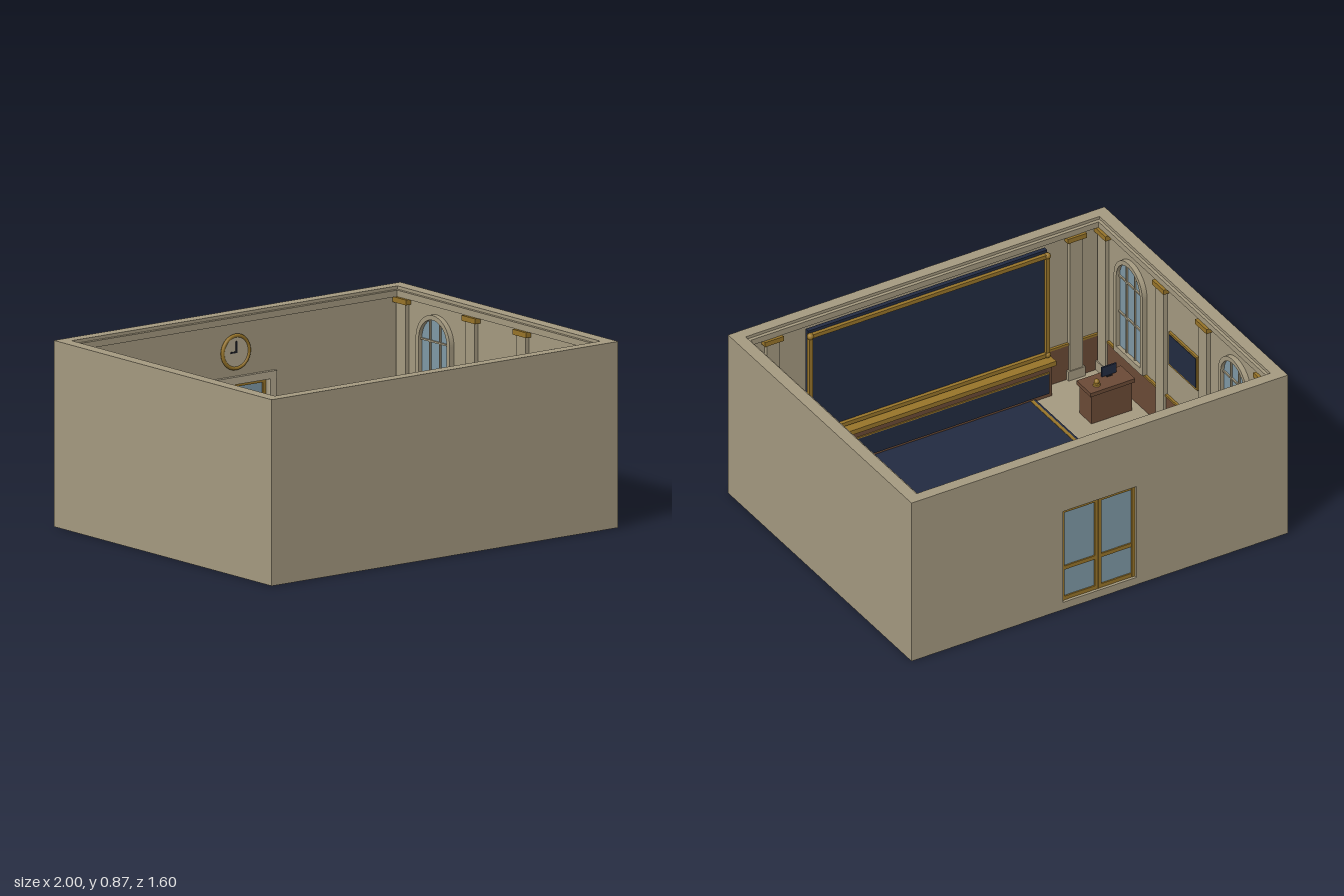
import * as THREE from 'three';

const mat = (name, color) => Object.assign(new THREE.MeshStandardMaterial({ color }), { name });
const stone = mat('stone', 0xa59a80);
const navy = mat('navy', 0x222b41);
const gold = mat('gold', 0x98752a);
const wood = mat('wood', 0x6b4a36);
const glass = mat('glass', 0x7f99a6);
const leaf = mat('leaf', 0x47774b);
const ivory = mat('ivory', 0xb5aa90);
const dark = mat('dark', 0x20222a);

function add(parent, name, geometry, material, x = 0, y = 0, z = 0) {
  const m = new THREE.Mesh(geometry, material);
  m.name = name;
  m.position.set(x, y, z);
  parent.add(m);
  return m;
}
// Box given by its limits on each axis
function box(parent, name, material, x0, x1, y0, y1, z0, z1) {
  return add(parent, name, new THREE.BoxGeometry(x1 - x0, y1 - y0, z1 - z0), material,
    (x0 + x1) / 2, (y0 + y1) / 2, (z0 + z1) / 2);
}
function group(parent, name, x = 0, y = 0, z = 0) {
  const g = new THREE.Group();
  g.name = name;
  g.position.set(x, y, z);
  parent.add(g);
  return g;
}

// Round-headed outline, width 2w, from y0 up to the springing y1
function archPath(P, w, y0, y1) {
  const p = new P();
  p.moveTo(-w, y0);
  p.lineTo(w, y0);
  p.lineTo(w, y1);
  p.absarc(0, y1, w, 0, Math.PI, false);
  p.lineTo(-w, y0);
  return p;
}

// Wall fittings below are built facing +z from a wall plane at z = 0
function pilaster(parent, x) {
  const g = group(parent, 'pilaster', x);
  box(g, 'pilasterBase', stone, -0.045, 0.045, 0.04, 0.09, 0, 0.025);
  box(g, 'pilasterShaft', stone, -0.035, 0.035, 0.09, 0.795, 0, 0.02);
  box(g, 'pilasterCapital', gold, -0.05, 0.05, 0.795, 0.82, 0, 0.03);
}
function wainscot(parent, x0, x1) {
  box(parent, 'wainscot', wood, x0, x1, 0.04, 0.225, 0, 0.008);
  box(parent, 'wainscotCap', gold, x0, x1, 0.225, 0.236, 0, 0.012);
}
function archedWindow(parent, x) {
  const g = group(parent, 'window', x);
  const shape = archPath(THREE.Shape, 0.125, 0.25, 0.655);
  shape.holes.push(archPath(THREE.Path, 0.103, 0.27, 0.655));
  add(g, 'windowFrame', new THREE.ExtrudeGeometry(shape, { depth: 0.025, bevelEnabled: false, curveSegments: 20 }), stone);
  add(g, 'windowGlass', new THREE.ShapeGeometry(archPath(THREE.Shape, 0.105, 0.26, 0.655), 20), glass, 0, 0, 0.006);
  for (const mx of [-0.036, 0.036]) box(g, 'mullion', stone, mx - 0.004, mx + 0.004, 0.26, 0.75, 0.004, 0.014);
  for (const my of [0.46, 0.655]) box(g, 'transom', stone, -0.105, 0.105, my - 0.004, my + 0.004, 0.004, 0.014);
  box(g, 'windowSill', stone, -0.125, 0.125, 0.238, 0.255, 0, 0.025);
}
function picture(parent) {
  const g = group(parent, 'picture');
  box(g, 'pictureFrame', gold, -0.125, 0.125, 0.415, 0.595, 0, 0.012);
  box(g, 'pictureCanvas', navy, -0.115, 0.115, 0.425, 0.585, 0.008, 0.0145);
}

function plant(parent, x, z) {
  const g = group(parent, 'plant', x, 0.04, z);
  const pot = [[0, 0], [0.036, 0], [0.05, 0.075], [0.056, 0.075], [0.056, 0.09], [0.046, 0.09], [0.044, 0.08], [0, 0.08]];
  add(g, 'pot', new THREE.LatheGeometry(pot.map(p => new THREE.Vector2(...p)), 20), ivory);
  add(g, 'foliage', new THREE.SphereGeometry(0.071, 20, 14), leaf, 0, 0.15, 0);
  add(g, 'foliageTop', new THREE.SphereGeometry(0.045, 16, 12), leaf, 0.02, 0.2, 0.02);
}

function bench(parent, x) {
  const g = group(parent, 'bench', x, 0, -0.102);
  box(g, 'benchSeat', wood, -0.213, 0.213, 0.115, 0.14, -0.048, 0.048);
  box(g, 'benchCushion', navy, -0.195, 0.195, 0.14, 0.155, -0.042, 0.042);
  for (const s of [-1, 1]) box(g, 'benchEnd', wood, s * 0.204 - 0.009, s * 0.204 + 0.009, 0.04, 0.16, -0.048, 0.048);
}

export function createModel() {
  const room = new THREE.Group();
  room.name = 'room';

  // Floor and walls, with an opening for the door at the back
  const T = 0.865;
  box(room, 'floor', stone, -1, 1, 0, 0.04, -0.8, 0.8);
  box(room, 'frontWall', stone, -1, 1, 0.04, T, 0.745, 0.8);
  for (const s of [-1, 1]) {
    box(room, 'sideWall', stone, s * 0.97 - 0.03, s * 0.97 + 0.03, 0.04, T, -0.745, 0.745);
    box(room, 'backWall', stone, s * 0.5975 - 0.4025, s * 0.5975 + 0.4025, 0.04, T, -0.8, -0.745);
    box(room, 'sideCornice', stone, s * 0.9325 - 0.0075, s * 0.9325 + 0.0075, 0.82, 0.85, -0.745, 0.745);
    box(room, 'endCornice', stone, -0.925, 0.925, 0.82, 0.85, s * 0.7365 - 0.0085, s * 0.7365 + 0.0085);
  }
  box(room, 'doorLintel', stone, -0.195, 0.195, 0.537, T, -0.8, -0.745);

  // Side wall fittings, mirrored
  for (const s of [-1, 1]) {
    const g = group(room, 'sideWallFittings', s * 0.94);
    g.rotation.y = -s * Math.PI / 2;
    wainscot(g, -0.745, 0.745);
    for (const x of [-0.695, -0.187, 0.187, 0.695]) pilaster(g, x);
    for (const x of [-0.455, 0.455]) archedWindow(g, x);
    picture(g);
  }

  // Front wall fittings face into the room
  const front = group(room, 'frontWallFittings', 0, 0, 0.745);
  front.rotation.y = Math.PI;
  wainscot(front, -0.94, 0.94);
  for (const x of [-0.805, 0.805]) pilaster(front, x);

  // Back wall fittings: panelling, door trim and clock
  const back = group(room, 'backWallFittings', 0, 0, -0.745);
  for (const s of [-1, 1]) {
    wainscot(back, s * 0.585 - 0.355, s * 0.585 + 0.355);
    box(back, 'doorJamb', ivory, s * 0.2125 - 0.0175, s * 0.2125 + 0.0175, 0.04, 0.537, 0, 0.015);
  }
  box(back, 'doorHead', ivory, -0.23, 0.23, 0.537, 0.572, 0, 0.018);
  const clock = group(back, 'clock', 0, 0.687, 0);
  add(clock, 'clockCase', new THREE.CylinderGeometry(0.075, 0.075, 0.012, 32).rotateX(Math.PI / 2), ivory, 0, 0, 0.006);
  add(clock, 'clockRim', new THREE.TorusGeometry(0.076, 0.009, 8, 36), gold, 0, 0, 0.009);
  box(clock, 'minuteHand', dark, -0.003, 0.003, -0.004, 0.05, 0.012, 0.016);
  box(clock, 'hourHand', dark, -0.034, 0.003, -0.004, 0.003, 0.012, 0.016);

  // Glazed double door
  const door = group(room, 'door', 0, 0, -0.775);
  for (const s of [-1, 1]) {
    const d = group(door, 'doorLeaf', s * 0.0975);
    box(d, 'doorGlass', glass, -0.09, 0.09, 0.05, 0.53, -0.004, 0.004);
    for (const e of [-1, 1]) box(d, 'doorStile', gold, e * 0.089 - 0.008, e * 0.089 + 0.008, 0.04, 0.537, -0.012, 0.012);
    for (const y of [0.05, 0.215, 0.527]) box(d, 'doorRail', gold, -0.09, 0.09, y - 0.01, y + 0.01, -0.011, 0.011);
    box(d, 'doorHandle', gold, -s * 0.08 - 0.006, -s * 0.08 + 0.006, 0.21, 0.31, 0.012, 0.032);
  }

  // Large wall screen with a gold tubular frame
  const screen = group(room, 'screen');
  box(screen, 'screenPanel', navy, -0.635, 0.635, 0.235, 0.815, 0.7, 0.722);
  for (const y of [0.25, 0.79]) box(screen, 'screenRail', gold, -0.64, 0.64, y - 0.01, y + 0.01, 0.682, 0.704);
  for (const s of [-1, 1]) {
    box(screen, 'screenPost', gold, s * 0.63 - 0.01, s * 0.63 + 0.01, 0.24, 0.8, 0.682, 0.704);
    for (const y of [0.25, 0.79]) add(screen, 'screenKnob', new THREE.SphereGeometry(0.016, 12, 8), gold, s * 0.63, y, 0.69);
  }

  // Console under the screen
  const console_ = group(room, 'console');
  box(console_, 'consoleTop', gold, -0.65, 0.65, 0.208, 0.232, 0.645, 0.725);
  box(console_, 'consoleBody', wood, -0.635, 0.635, 0.04, 0.208, 0.66, 0.737);
  box(console_, 'consoleTrim', gold, -0.62, 0.62, 0.168, 0.175, 0.654, 0.66);
  box(console_, 'consolePanel', navy, -0.62, 0.62, 0.06, 0.168, 0.655, 0.66);

  // Carpet with an inset gold border
  const carpet = group(room, 'carpet');
  box(carpet, 'carpetField', navy, -0.55, 0.55, 0.04, 0.048, 0.075, 0.66);
  box(carpet, 'carpetBorder', gold, -0.54, 0.54, 0.046, 0.05, 0.092, 0.108);
  for (const s of [-1, 1]) box(carpet, 'carpetBorder', gold, s * 0.53 - 0.008, s * 0.53 + 0.008, 0.046, 0.05, 0.1, 0.66);

  // Benches and plants
  for (const s of [-1, 1]) bench(room, s * 0.452);
  for (const [x, z] of [[-0.825, -0.632], [0.825, -0.632], [0.8, 0.622]]) plant(room, x, z);

  // Desk with a small display and a brass ornament
  const desk = group(room, 'desk', -0.777, 0, 0.422);
  box(desk, 'deskTop', wood, -0.118, 0.118, 0.195, 0.215, -0.062, 0.062);
  box(desk, 'deskBody', wood, -0.108, 0.108, 0.04, 0.195, -0.052, 0.052);
  box(desk, 'displayFoot', dark, -0.045, -0.015, 0.215, 0.22, 0.014, 0.032);
  box(desk, 'display', navy, -0.07, 0.008, 0.22, 0.27, 0.02, 0.028);
  add(desk, 'ornamentBase', new THREE.CylinderGeometry(0.016, 0.018, 0.008, 16), gold, 0.058, 0.219, -0.015);
  add(desk, 'ornament', new THREE.SphereGeometry(0.013, 14, 10), gold, 0.058, 0.234, -0.015);

  return room;
}
